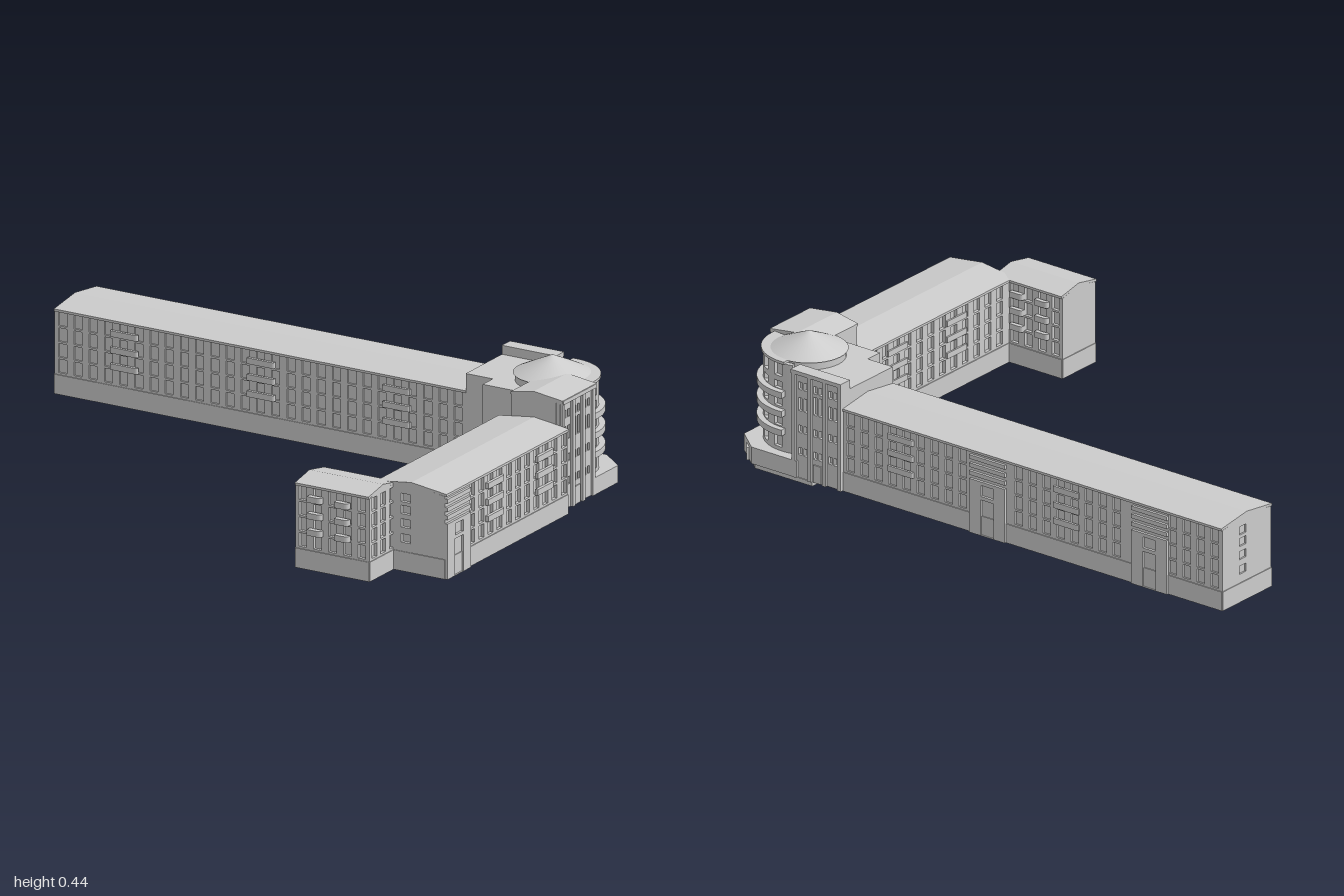
import * as THREE from 'three';
import { toCreasedNormals } from 'three/addons/utils/BufferGeometryUtils.js';

const grey = new THREE.MeshStandardMaterial({ color: 0xcccccc, side: THREE.DoubleSide });
const GROUND = 0.015, EAVE = 0.29, RIDGE = 0.315;
const ROWS = [0.087, 0.139, 0.191, 0.243];

function add(parent, name, geometry) {
  const mesh = new THREE.Mesh(geometry, grey);
  mesh.name = name;
  parent.add(mesh);
  return mesh;
}

// Box given by its limits on each axis
function box(parent, name, x0, x1, y0, y1, z0, z1) {
  const g = new THREE.BoxGeometry(x1 - x0, y1 - y0, z1 - z0);
  return add(parent, name, g.translate((x0 + x1) / 2, (y0 + y1) / 2, (z0 + z1) / 2));
}

// Box standing on the ground without a floor
function shell(parent, name, x0, x1, top, z0, z1) {
  const mesh = box(parent, name, x0, x1, GROUND, top, z0, z1);
  const index = Array.from(mesh.geometry.index.array);
  index.splice(18, 6);
  mesh.geometry.setIndex(index);
}

function polygon(points) {
  return new THREE.Shape(points.map(([x, y]) => new THREE.Vector2(x, y)));
}

function extrude(shape, depth, curveSegments = 6) {
  return new THREE.ExtrudeGeometry(shape, { depth, bevelEnabled: false, curveSegments });
}

// Upright prism from a plan outline of [x, z] points
function prism(parent, name, plan, y0, y1) {
  const g = extrude(polygon(plan.map(([x, z]) => [x, -z])), y1 - y0);
  return add(parent, name, g.rotateX(-Math.PI / 2).translate(0, y0, 0));
}

// Rectangular openings as [centre x, bottom y, width, height]
function cut(shape, openings) {
  for (const [x, y, w, h] of openings) {
    shape.holes.push(new THREE.Path([[-1, 0], [1, 0], [1, 1], [-1, 1]].map(
      ([i, j]) => new THREE.Vector2(x + i * w / 2, y + j * h))));
  }
  return shape;
}

function windowGrid(columns, rows = ROWS, w = 0.03, h = 0.045) {
  return columns.flatMap(x => rows.map(y => [x, y, w, h]));
}

function spread(first, last, count) {
  return Array.from({ length: count }, (_, i) => first + (last - first) * i / (count - 1));
}

// Pierced wall with recessed panes; outer face at local z = 0, looking to +z
function facade(parent, name, width, top, windows, recess, peak = top) {
  const group = new THREE.Group();
  group.name = name;
  const a = width / 2, t = recess + 0.002;
  const shape = cut(polygon([[-a, GROUND], [a, GROUND], [a, top], [0, peak], [-a, top]]), windows);
  add(group, 'wall', extrude(shape, t).translate(0, 0, -t));
  if (windows.length) {
    box(group, 'windowPanes', -a + 0.004, a - 0.004, 0.06, top - 0.001, -t - 0.002, -recess);
  }
  parent.add(group);
  return group;
}

// Stack of three balconies, each rounded at one end
function balconies(wall, x, width, depth) {
  const a = width / 2;
  const shape = new THREE.Shape().moveTo(-a, 0).lineTo(a, 0).lineTo(a, depth * 0.4);
  shape.quadraticCurveTo(a, depth, a - depth, depth).lineTo(-a, depth).lineTo(-a, 0);
  for (const y of [0.135, 0.19, 0.245]) {
    add(wall, 'balcony', extrude(shape, 0.02).rotateX(Math.PI / 2).translate(x, y + 0.02, 0));
  }
}

// Projecting entrance bay with door and window openings, bands up to the eave
function entrance(wall, x) {
  const a = 0.071, d = 0.009;
  const bay = cut(polygon([[-a, GROUND], [a, GROUND], [a, 0.2], [-a, 0.2]]),
    [[0, GROUND + 0.001, 0.052, 0.122], [0, 0.15, 0.048, 0.038]]);
  add(wall, 'entranceBay', extrude(bay, d).translate(x, 0, 0));
  for (const y of [0.213, 0.24, 0.268]) box(wall, 'band', x - a, x + a, y, y + 0.014, 0, d);
}

// Hollow gabled wing along local x, with a wall on each side that is listed
function wing(parent, name, length, depth, recess, sides) {
  const group = new THREE.Group();
  group.name = name;
  const dims = { front: [length, depth, 0], back: [length, depth, Math.PI],
    left: [depth, length, Math.PI / 2], right: [depth, length, -Math.PI / 2] };
  const walls = {};
  for (const [side, windows] of Object.entries(sides)) {
    const [w, d, turn] = dims[side];
    const gable = side === 'left' || side === 'right';
    const wall = facade(group, side + 'Wall', w, EAVE, windows, recess, gable ? RIDGE - 0.007 : EAVE);
    wall.rotation.y = turn;
    wall.position.set(Math.sin(turn) * d / 2, 0, Math.cos(turn) * d / 2);
    box(wall, 'plinth', -w / 2, w / 2, GROUND, 0.08, -0.002, 0.003);
    walls[side] = wall;
  }
  // Thin folded roof
  const a = depth / 2 + 0.005, t = 0.008;
  const fold = polygon([[-a, EAVE], [-a, EAVE + t], [0, RIDGE], [a, EAVE + t], [a, EAVE], [0, RIDGE - t]]);
  add(group, 'roof', extrude(fold, length).translate(0, 0, -length / 2).rotateY(Math.PI / 2));
  parent.add(group);
  return { group, walls };
}

// Tall tower front: paired narrow windows between pilasters
function towerFront(parent, name, width, top) {
  const windows = [];
  for (const c of [-0.06, 0, 0.06]) {
    for (const [y, h] of [[0.093, 0.025], [0.17, 0.025], [0.245, c ? 0.045 : 0.062], [0.318, 0.026]]) {
      for (const s of [-1, 1]) windows.push([c + s * 0.011, y, 0.014, h]);
    }
  }
  const wall = facade(parent, name, width, top, windows, 0.011);
  for (const x of [-0.092, -0.03, 0.03, 0.092]) {
    box(wall, 'pilaster', x - 0.007, x + 0.007, GROUND, top, 0, 0.009);
  }
  box(wall, 'door', -0.016, 0.016, GROUND, 0.075, 0, 0.004);
  box(wall, 'cornice', -width / 2, width / 2, top - 0.013, top, 0, 0.012);
  return wall;
}

// Sector of a ring around the corner tower axis (0 = +x, PI/2 = -z)
function sector(parent, name, r0, r1, y0, y1, a0 = -0.08, a1 = Math.PI / 2 + 0.08) {
  const shape = new THREE.Shape();
  shape.absarc(0, 0, r1, a0, a1, false);
  shape.absarc(0, 0, r0, a1, a0, true);
  const g = extrude(shape, y1 - y0, 24).rotateX(-Math.PI / 2).translate(0, y0, 0);
  return add(parent, name, toCreasedNormals(g, 0.5));
}

function cornerTower(parent) {
  const tower = new THREE.Group();
  tower.name = 'cornerTower';
  parent.add(tower);

  // Foundation and chamfered ground floor
  prism(tower, 'foundation', [[0.64, -0.41], [0.93, -0.41], [0.93, -0.6], [0.87, -0.655], [0.64, -0.655]], 0, GROUND);
  prism(tower, 'groundFloor', [[0.7, -0.44], [0.965, -0.44], [0.965, -0.59], [0.88, -0.66], [0.7, -0.66]], GROUND, 0.072);
  const door = box(tower, 'cornerDoor', -0.025, 0.025, GROUND, 0.058, -0.004, 0.004);
  door.position.set(0.9225, 0, -0.625);
  door.rotation.y = Math.atan2(0.085, -0.07);

  // Blocks over the court, the long wing and the side wing
  shell(tower, 'courtBlock', 0.62, 0.8, 0.355, -0.5, -0.335);
  shell(tower, 'backBlock', 0.52, 0.72, 0.355, -0.638, -0.397);
  box(tower, 'parapet', 0.52, 0.72, 0.35, 0.385, -0.65, -0.615);
  shell(tower, 'sideBlock', 0.777, 0.942, 0.378, -0.455, -0.252);
  const back = towerFront(tower, 'backFront', 0.2, 0.385);
  back.position.set(0.62, 0, -0.652);
  back.rotation.y = Math.PI;
  const side = towerFront(tower, 'sideFront', 0.2, 0.385);
  side.position.set(0.957, 0, -0.352);
  side.rotation.y = Math.PI / 2;
  const gable = polygon([[0.775, 0.376], [0.967, 0.376], [0.967, 0.386], [0.86, 0.4], [0.775, 0.384]]);
  add(tower, 'sideRoof', extrude(gable, 0.205).translate(0, 0, -0.455));

  // Rounded corner: window drum, wall bands, piers and balcony rings
  const round = new THREE.Group();
  round.name = 'roundedCorner';
  round.position.set(0.785, 0, -0.47);
  tower.add(round);
  sector(round, 'windowDrum', 0.02, 0.144, 0.07, 0.375);
  for (const [y0, y1] of [[0.06, 0.085], [0.128, 0.158], [0.195, 0.225], [0.26, 0.285], [0.31, 0.328], [0.37, 0.38]]) {
    sector(round, 'wallBand', 0.14, 0.156, y0, y1);
  }
  for (const a of spread(-0.13, Math.PI / 2 + 0.13, 5)) {
    sector(round, 'pier', 0.14, 0.156, 0.07, 0.375, a - 0.12, a + 0.12);
  }
  for (const y of [0.133, 0.197, 0.262]) sector(round, 'balconyRing', 0.14, 0.176, y, y + 0.021);
  sector(round, 'roofEdge', 0.02, 0.162, 0.374, 0.383);

  // Conical roof
  add(tower, 'roofDrum', new THREE.CylinderGeometry(0.118, 0.118, 0.04, 40).translate(0.785, 0.363, -0.487));
  add(tower, 'coneRoof', new THREE.ConeGeometry(0.125, 0.059, 40).translate(0.785, 0.411, -0.487));
}

export function createModel() {
  const model = new THREE.Group();
  model.name = 'cornerBuilding';

  // Long wing
  const doors = [-0.1775, 0.4725];
  const columns = spread(-0.73, 0.73, 27);
  const endWindows = windowGrid([-0.02], [0.11, 0.16, 0.205, 0.245], 0.035, 0.028);
  const long = wing(model, 'longWing', 1.52, 0.248, 0.006, {
    front: windowGrid(columns),
    back: windowGrid(columns.filter(x => doors.every(d => Math.abs(x - d) > 0.088))),
    right: endWindows,
  });
  long.group.position.set(-0.24, 0, -0.524);
  for (const x of [-0.74, -0.235, 0.265]) balconies(long.walls.front, x + 0.24, 0.1, 0.01);
  for (const x of [-0.5275, 0.1375]) balconies(long.walls.back, x, 0.1, 0.008);
  for (const x of doors) entrance(long.walls.back, x);

  // Side wing, turned so its front looks to +x
  const side = wing(model, 'sideWing', 0.742, 0.25, 0.011, {
    front: windowGrid(spread(-0.208, 0.347, 11)),
    back: windowGrid(spread(-0.34, 0.3, 12)),
    right: endWindows,
  });
  side.group.position.set(0.862, 0, 0.122);
  side.group.rotation.y = Math.PI / 2;
  for (const x of [-0.078, 0.222]) {
    balconies(side.walls.front, x, 0.1, 0.011);
    balconies(side.walls.back, -x, 0.1, 0.006);
  }
  entrance(side.walls.front, -0.3);

  // Short end wing
  const short = wing(model, 'shortWing', 0.272, 0.168, 0.011, {
    front: windowGrid(spread(-0.11, 0.11, 5)),
    back: windowGrid(spread(-0.055, 0.11, 4)),
    left: windowGrid([-0.053, 0, 0.053]),
    right: [],
  });
  short.group.position.set(0.659, 0, 0.554);
  for (const x of [-0.059, 0.041]) {
    balconies(short.walls.front, x, 0.05, 0.018);
    balconies(short.walls.back, -x, 0.05, 0.015);
  }

  cornerTower(model);
  return model;
}
